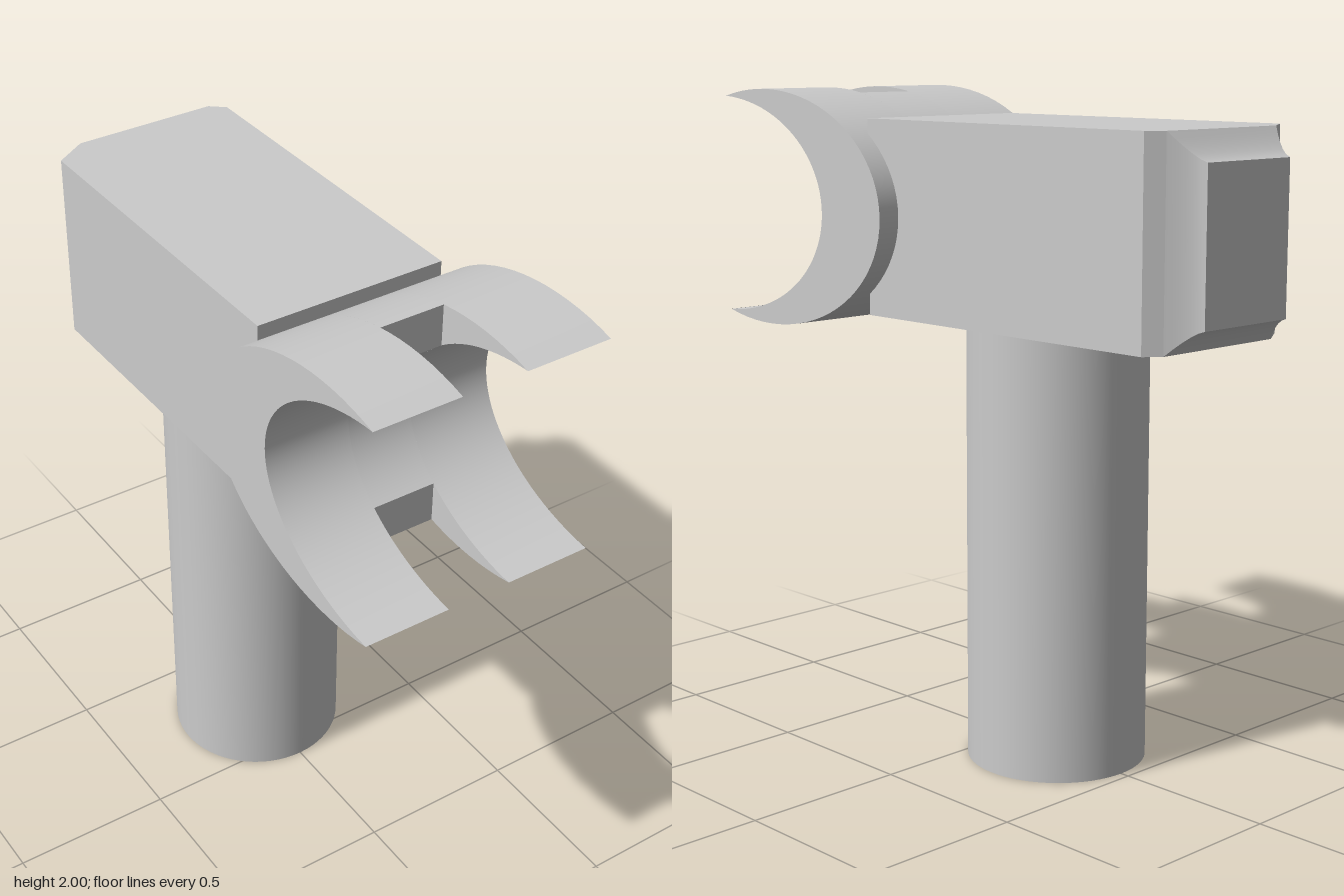
import * as THREE from 'three';
import { toCreasedNormals } from 'three/addons/utils/BufferGeometryUtils.js';

const MID_Y = 1.635;

// Points of an elliptical arc opening towards +z and cut off at z = zEnd
function arc(zc, a, b, zEnd, n = 48) {
  const t0 = Math.acos((zEnd - zc) / a);
  return Array.from({ length: n + 1 }, (_, i) => {
    const t = t0 + (2 * Math.PI - 2 * t0) * i / n;
    return new THREE.Vector2(zc + a * Math.cos(t), MID_Y + b * Math.sin(t));
  });
}

// Crescent slice of the claw between two x positions
function crescent(x0, x1, zEnd) {
  const outer = arc(0.72, 0.545, 0.365, zEnd);
  const inner = arc(0.96, 0.515, 0.341, zEnd).reverse();
  const geo = new THREE.ExtrudeGeometry(new THREE.Shape([...outer, ...inner]), {
    depth: x1 - x0, bevelEnabled: false,
  });
  geo.rotateY(-Math.PI / 2).translate(x1, 0, 0);
  return toCreasedNormals(geo, 0.6);
}

// Concave tapered end: rectangular rings that shrink towards the back
function taperedEnd() {
  const from = [-0.2, 0.25, 1.33, 1.92], to = [-0.15, 0.19, 1.4, 1.84];
  const steps = 5, pos = [], index = [];
  for (let k = 0; k <= steps; k++) {
    const t = k / steps, s = 1 - Math.pow(1 - t, 1.5);
    const [x0, x1, y0, y1] = from.map((v, i) => v + (to[i] - v) * s);
    const z = -0.835 - 0.09 * t;
    pos.push(x0, y0, z, x1, y0, z, x1, y1, z, x0, y1, z);
    if (k === steps) break;
    for (let i = 0; i < 4; i++) {
      const a = k * 4 + i, b = k * 4 + (i + 1) % 4;
      index.push(a, a + 4, b, b, a + 4, b + 4);
    }
  }
  const e = steps * 4;
  index.push(e, e + 3, e + 2, e, e + 2, e + 1);
  const geo = new THREE.BufferGeometry();
  geo.setAttribute('position', new THREE.Float32BufferAttribute(pos, 3));
  geo.setIndex(index);
  return toCreasedNormals(geo, 0.5);
}

export function createModel() {
  const model = new THREE.Group();
  const material = new THREE.MeshStandardMaterial({ color: 0xcccccc });
  const add = (name, geo, parent = model) => {
    const mesh = new THREE.Mesh(geo, material);
    mesh.name = name;
    parent.add(mesh);
    return mesh;
  };

  // Round grip
  add('grip', new THREE.CylinderGeometry(0.272, 0.272, 1.34, 64)).position.set(0, 0.67, -0.2);

  // Block with unequal corner cuts at the back
  const plan = new THREE.Shape([
    [-0.3, 0.31], [-0.3, -0.77], [-0.2, -0.835], [0.25, -0.835], [0.295, -0.797], [0.295, 0.31],
  ].map(([x, z]) => new THREE.Vector2(x, z)));
  const block = new THREE.ExtrudeGeometry(plan, { depth: 0.59, bevelEnabled: false });
  add('block', block.rotateX(Math.PI / 2).translate(0, 1.92, 0));
  add('blockEnd', taperedEnd());

  // Claw: two full crescents joined by a shorter one that leaves the notches
  const claw = new THREE.Group();
  claw.name = 'claw';
  add('clawRight', crescent(-0.367, -0.1, 0.92), claw);
  add('clawLeft', crescent(0.1, 0.367, 0.92), claw);
  add('clawBridge', crescent(-0.1, 0.1, 0.575), claw);
  model.add(claw);

  return model;
}
